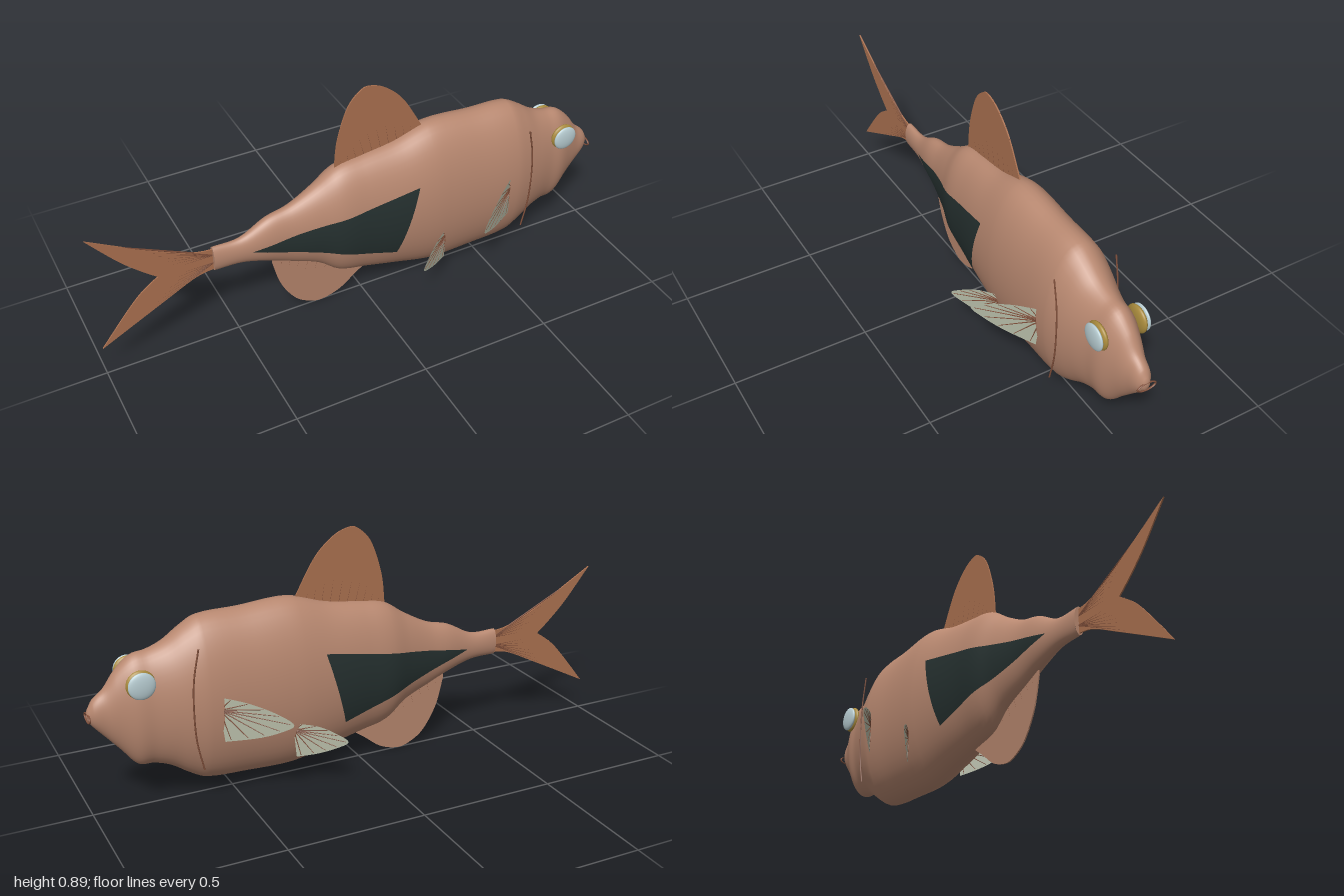
import * as THREE from 'three';

const mat = (name, color, side = THREE.FrontSide) => {
  const m = new THREE.MeshStandardMaterial({ color, side });
  m.name = name;
  return m;
};

// Body stations: x, bottom y, top y, half width
const STATIONS = [
  [-0.575, 0.308, 0.41, 0.02], [-0.47, 0.305, 0.412, 0.027], [-0.37, 0.275, 0.463, 0.043],
  [-0.28, 0.238, 0.487, 0.053], [-0.18, 0.195, 0.54, 0.075], [-0.1, 0.135, 0.592, 0.098],
  [0, 0.11, 0.61, 0.107], [0.13, 0.08, 0.63, 0.121], [0.25, 0.051, 0.667, 0.13],
  [0.32, 0.045, 0.672, 0.131], [0.45, 0.05, 0.662, 0.13], [0.6, 0.06, 0.656, 0.129],
  [0.66, 0.09, 0.625, 0.118], [0.72, 0.13, 0.585, 0.102], [0.78, 0.152, 0.563, 0.086],
  [0.835, 0.16, 0.553, 0.078], [0.89, 0.225, 0.506, 0.056], [0.93, 0.272, 0.452, 0.041],
  [0.97, 0.318, 0.418, 0.029], [0.99, 0.345, 0.385, 0.012],
];

// Smoothly interpolated cross-section at x
function section(x) {
  const S = STATIONS, n = S.length;
  let i = 0;
  while (i < n - 2 && x > S[i + 1][0]) i++;
  const a = S[i], b = S[i + 1], h = b[0] - a[0], t = (x - a[0]) / h;
  const slope = (j, k) => {
    const p = S[Math.max(j - 1, 0)], q = S[Math.min(j + 1, n - 1)];
    return (q[k] - p[k]) / (q[0] - p[0]);
  };
  const [lo, hi, hw] = [1, 2, 3].map((k) =>
    a[k] * (2 * t ** 3 - 3 * t * t + 1) + b[k] * (3 * t * t - 2 * t ** 3) +
    h * (slope(i, k) * (t ** 3 - 2 * t * t + t) + slope(i + 1, k) * (t ** 3 - t * t)));
  return { cy: (lo + hi) / 2, hh: (hi - lo) / 2, hw };
}

// Elliptical rings lofted along x, closed at the snout
function bodyGeometry() {
  const pos = [], idx = [], around = 48, steps = 5;
  const xs = [];
  for (let i = 0; i < STATIONS.length - 1; i++)
    for (let k = 0; k < steps; k++)
      xs.push(THREE.MathUtils.lerp(STATIONS[i][0], STATIONS[i + 1][0], k / steps));
  xs.push(0.99);
  xs.forEach((x, i) => {
    const s = section(x);
    for (let j = 0; j < around; j++) {
      const a = (j / around) * Math.PI * 2, k = (j + 1) % around;
      pos.push(x, s.cy + s.hh * Math.cos(a), s.hw * Math.sin(a));
      const r = i * around;
      if (i < xs.length - 1)
        idx.push(r + j, r + k, r + around + j, r + k, r + around + k, r + around + j);
      else idx.push(r + j, r + k, xs.length * around);
    }
  });
  pos.push(0.994, 0.365, 0);
  const g = new THREE.BufferGeometry();
  g.setAttribute('position', new THREE.Float32BufferAttribute(pos, 3));
  g.setIndex(idx);
  g.computeVertexNormals();
  return g;
}

const V2 = (p) => new THREE.Vector2(p[0], p[1]);

export function createModel() {
  const fish = new THREE.Group();
  fish.name = 'fish';
  const skin = mat('skin', 0xb88870);
  const fin = mat('finBrown', 0xab7150);
  const paleFin = mat('paleBrownFin', 0xb5856c);
  const ray = mat('rayBrown', 0x81503b);
  const sage = mat('sageFin', 0xb3b8a4, THREE.DoubleSide);
  const dark = mat('darkPatch', 0x25302f, THREE.DoubleSide);
  const gold = mat('eyeGold', 0xa88a3c);
  const pale = mat('eyePale', 0xb9ced3);

  const add = (parent, name, geo, m) => {
    const mesh = new THREE.Mesh(geo, m);
    mesh.name = name;
    parent.add(mesh);
    return mesh;
  };
  const group = (name) => {
    const g = new THREE.Group();
    g.name = name;
    fish.add(g);
    return g;
  };
  // Thin tapered rod between two points
  const rod = (parent, a, b, r) => {
    const d = new THREE.Vector3().subVectors(b, a);
    const m = add(parent, 'finRay', new THREE.CylinderGeometry(r * 0.5, r, d.length(), 6), ray);
    m.position.copy(a).addScaledVector(d, 0.5);
    m.quaternion.setFromUnitVectors(new THREE.Vector3(0, 1, 0), d.normalize());
  };
  const plate = (parent, name, shape, m) => {
    const g = new THREE.ExtrudeGeometry(shape, { depth: 0.005, bevelEnabled: false, curveSegments: 32 });
    return add(parent, name, g.translate(0, 0, -0.0025), m);
  };

  // Body with flat tail stump
  add(fish, 'body', bodyGeometry(), skin);
  const cap = add(fish, 'tailStump', new THREE.CircleGeometry(1, 32), skin);
  cap.position.set(-0.575, 0.359, 0);
  cap.rotation.y = -Math.PI / 2;
  cap.scale.set(0.02, 0.051, 1);

  // Dorsal and anal fins: curved outline over a straight base hidden in the body
  const medianFin = (name, edge, baseY, m, rays) => {
    const g = group(name), pts = edge.map(V2);
    const first = pts[0], last = pts[pts.length - 1];
    const shape = new THREE.Shape();
    shape.moveTo(first.x, baseY[0]);
    shape.lineTo(first.x, first.y);
    shape.splineThru(pts.slice(1));
    shape.lineTo(last.x, baseY[1]);
    plate(g, name + 'Web', shape, m);
    const curve = new THREE.SplineCurve(pts);
    for (let i = 1; i <= rays; i++) {
      const t = i / (rays + 1), tip = curve.getPointAt(0.1 + t * 0.75);
      const x = THREE.MathUtils.lerp(first.x, last.x, t);
      rod(g, new THREE.Vector3(x, THREE.MathUtils.lerp(baseY[0], baseY[1], t), 0),
        new THREE.Vector3(tip.x, tip.y, 0), 0.0032);
    }
  };
  medianFin('dorsalFin', [[-0.103, 0.59], [-0.09, 0.7], [-0.05, 0.82], [0, 0.876], [0.04, 0.884],
    [0.1, 0.858], [0.17, 0.79], [0.245, 0.66]], [0.55, 0.6], fin, 10);
  medianFin('analFin', [[-0.355, 0.25], [-0.325, 0.14], [-0.27, 0.05], [-0.21, 0.01], [-0.16, 0.001],
    [-0.09, 0.022], [-0.02, 0.075], [0.03, 0.11]], [0.3, 0.2], paleFin, 9);

  // Forked tail
  const tail = group('tailFin');
  const upper = [[-1, 0.598], [-0.9, 0.475], [-0.83, 0.405], [-0.775, 0.358]].map(V2);
  const lower = [[-0.775, 0.358], [-0.84, 0.31], [-0.9, 0.245], [-1, 0.12]].map(V2);
  const ts = new THREE.Shape();
  ts.moveTo(-0.56, 0.4);
  ts.splineThru([[-0.64, 0.412], [-0.77, 0.468], [-1, 0.598]].map(V2));
  ts.splineThru(upper.slice(1));
  ts.splineThru(lower.slice(1));
  ts.splineThru([[-0.77, 0.238], [-0.64, 0.302], [-0.56, 0.315]].map(V2));
  plate(tail, 'tailWeb', ts, fin);
  [[upper, 0.375], [lower, 0.343]].forEach(([pts, y]) => {
    const c = new THREE.SplineCurve(pts);
    for (let i = 0; i < 7; i++) {
      const p = c.getPointAt(0.08 + i * 0.14);
      rod(tail, new THREE.Vector3(-0.57, y, 0), new THREE.Vector3(p.x, p.y, 0), 0.0035);
    }
  });

  // Paired fins: fan outline in (z, y), swept backwards as it spreads
  const pairedFin = (name, side, edge, root, x0) => {
    const g = group(name);
    const place = (z, y) => new THREE.Vector3(x0 - (z - root[0]) * 1.42, y, z * side);
    const curve = new THREE.SplineCurve(edge.map(V2));
    const shape = new THREE.Shape([V2(root), ...curve.getPoints(28)]);
    const geo = new THREE.ShapeGeometry(shape), p = geo.attributes.position;
    for (let i = 0; i < p.count; i++) {
      const v = place(p.getX(i), p.getY(i));
      p.setXYZ(i, v.x, v.y, v.z);
    }
    geo.computeVertexNormals();
    add(g, name + 'Web', geo, sage);
    for (let i = 0; i < 9; i++) {
      const e = curve.getPointAt(0.04 + i * 0.115);
      rod(g, place(...root), place(e.x, e.y).lerp(place(...root), 0.05), 0.0025);
    }
  };

  for (const s of [1, -1]) {
    const label = s > 0 ? 'left' : 'right';
    pairedFin(label + 'PectoralFin', s, [[0.13, 0.395], [0.18, 0.38], [0.235, 0.347], [0.265, 0.312],
      [0.24, 0.284], [0.195, 0.257], [0.128, 0.235]], [0.12, 0.35], 0.575);
    pairedFin(label + 'PelvicFin', s, [[0.115, 0.24], [0.16, 0.234], [0.2, 0.207], [0.219, 0.182],
      [0.195, 0.156], [0.155, 0.13], [0.113, 0.113]], [0.108, 0.215], 0.305);

    // Eye: gold rim with a pale lens
    for (const [part, m, r, z, d] of [['EyeRim', gold, 0.05, 0.074, 0.016], ['EyeLens', pale, 0.047, 0.09, 0.012]]) {
      const eye = add(fish, label + part, new THREE.SphereGeometry(1, 32, 20), m);
      eye.position.set(0.825, 0.473, z * s);
      eye.scale.set(r, r, d);
    }

    // Gill line
    const gill = new THREE.CatmullRomCurve3([[0.638, 0.58], [0.659, 0.47], [0.664, 0.36], [0.659, 0.25], [0.638, 0.143]]
      .map(([x, y]) => new THREE.Vector3(x, y, 0.118 * s)));
    add(fish, label + 'GillLine', new THREE.TubeGeometry(gill, 32, 0.003, 6), ray);

    // Dark flank patch following the body surface
    const geo = new THREE.PlaneGeometry(1, 1, 30, 14), p = geo.attributes.position;
    for (let i = 0; i < p.count; i++) {
      const u = p.getX(i) + 0.5, v = p.getY(i) + 0.5;
      const x = -0.44 + u * THREE.MathUtils.lerp(0.54, 0.62, v);
      const y = 0.36 + u * THREE.MathUtils.lerp(-0.16, 0.12, v);
      const c = section(x);
      const z = c.hw * Math.sqrt(Math.max(0, 1 - ((y - c.cy) / c.hh) ** 2)) + 0.004;
      p.setXYZ(i, x, y, z * s);
    }
    if (s < 0) geo.setIndex(Array.from(geo.index.array).reverse());
    geo.computeVertexNormals();
    add(fish, label + 'FlankPatch', geo, dark);
  }

  // Lips
  const lips = add(fish, 'mouth', new THREE.TorusGeometry(1, 0.09, 8, 36), ray);
  lips.position.set(0.99, 0.358, 0);
  lips.rotation.y = Math.PI / 2;
  lips.scale.set(0.034, 0.015, 0.04);

  return fish;
}
